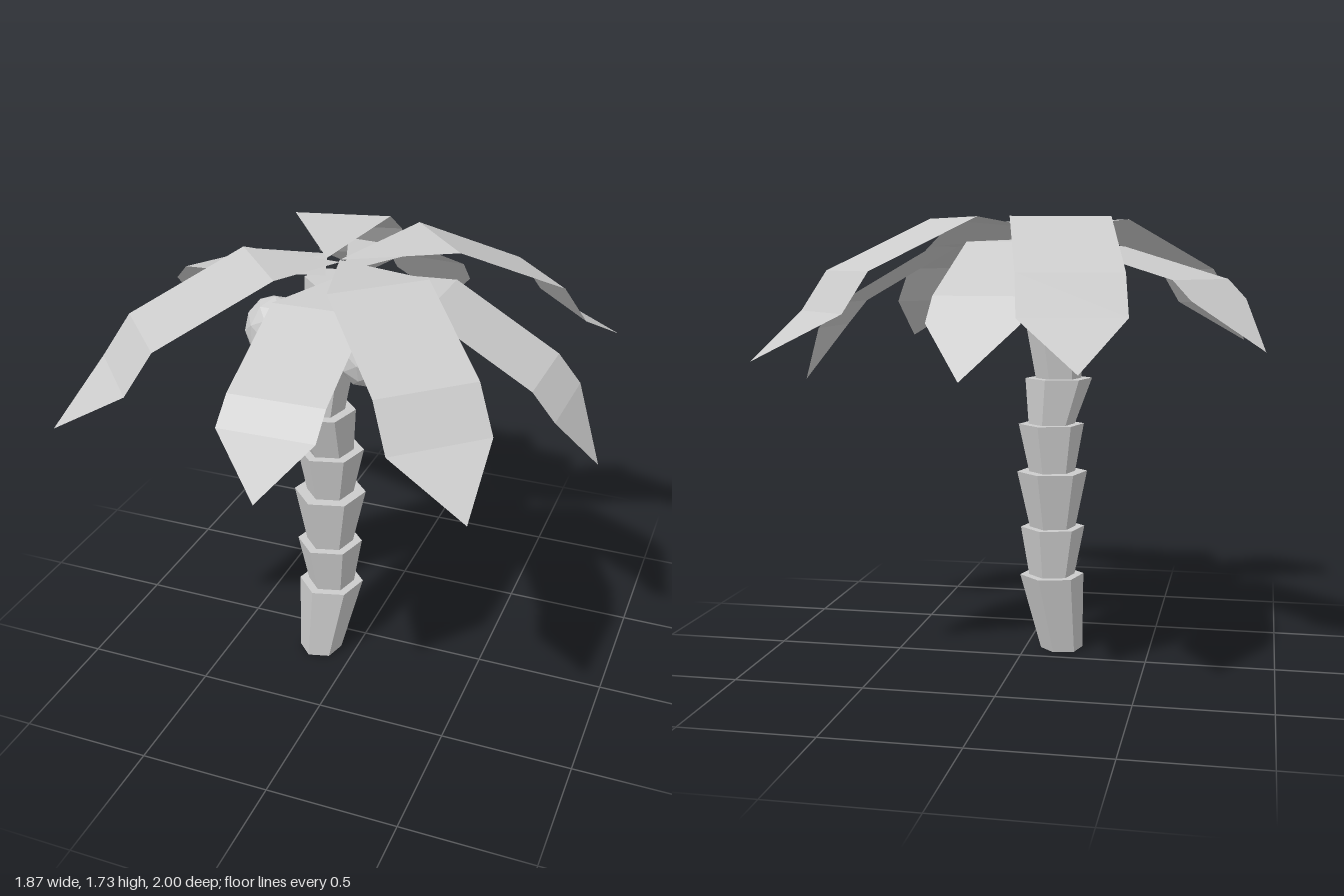
import * as THREE from 'three';

const mat = new THREE.MeshStandardMaterial({ color: 0xcccccc, flatShading: true });
const leafMat = new THREE.MeshStandardMaterial({ color: 0xcccccc, flatShading: true, side: THREE.DoubleSide });

// Six-sided flared segment whose bottom and top rings have their own centres [x, y, z, radius]
function trunkSegment(bottom, top) {
  const h = top[1] - bottom[1];
  const geo = new THREE.CylinderGeometry(top[3], bottom[3], h, 6, 1, false, Math.PI / 4);
  const p = geo.attributes.position;
  for (let i = 0; i < p.count; i++) {
    const end = p.getY(i) > 0 ? top : bottom;
    p.setXYZ(i, p.getX(i) + end[0], end[1], p.getZ(i) + end[2]);
  }
  geo.computeVertexNormals();
  const mesh = new THREE.Mesh(geo, mat);
  mesh.name = 'trunkSegment';
  return mesh;
}

// Pointed blade: root point, three cross-folds, tip.
// stops are fractions of the length, heights run from root to tip
function frond({ root, tip, stops, heights, width }) {
  const dx = tip[0] - root[0], dz = tip[1] - root[1], len = Math.hypot(dx, dz);
  const sx = -dz / len * width / 2, sz = dx / len * width / 2;
  const pos = [root[0], heights[0], root[1]];
  stops.forEach((t, i) => {
    const x = root[0] + dx * t, z = root[1] + dz * t;
    pos.push(x - sx, heights[i + 1], z - sz, x + sx, heights[i + 1], z + sz);
  });
  pos.push(tip[0], heights[4], tip[1]);
  const geo = new THREE.BufferGeometry();
  geo.setAttribute('position', new THREE.Float32BufferAttribute(pos, 3));
  const index = [0, 2, 1];
  for (let a = 1; a < 5; a += 2) index.push(a, a + 1, a + 2, a + 1, a + 3, a + 2);
  index.push(5, 6, 7);
  geo.setIndex(index);
  const flat = geo.toNonIndexed();
  flat.computeVertexNormals();
  const mesh = new THREE.Mesh(flat, leafMat);
  mesh.name = 'frond';
  return mesh;
}

export function createModel() {
  const model = new THREE.Group();
  model.name = 'palmTree';

  // Trunk: stacked segments, each wider at its top
  const trunk = new THREE.Group();
  trunk.name = 'trunk';
  const tops = [
    [-0.11, 0.315, 0.1, 0.128], [-0.112, 0.51, 0.105, 0.128], [-0.11, 0.735, 0.1, 0.14],
    [-0.105, 0.925, 0.105, 0.13], [-0.13, 1.105, 0.132, 0.133], [-0.108, 1.36, 0.112, 0.113],
    [-0.09, 1.62, 0.1, 0.1],
  ];
  let bottom = [-0.145, 0, 0.14, 0.085];
  for (const top of tops) {
    trunk.add(trunkSegment(bottom, top));
    bottom = [top[0], top[1] - 0.01, top[2], 0.09];
  }
  model.add(trunk);

  // Coconuts under the crown
  const coconuts = new THREE.Group();
  coconuts.name = 'coconuts';
  for (const [x, y, z] of [[-0.04, 1.48, -0.05], [0.11, 1.42, 0.265], [-0.215, 1.49, 0.315]]) {
    const nut = new THREE.Mesh(new THREE.IcosahedronGeometry(0.112, 1), mat);
    nut.name = 'coconut';
    nut.scale.y = 1.07;
    nut.position.set(x, y, z);
    coconuts.add(nut);
  }
  model.add(coconuts);

  const crown = new THREE.Group();
  crown.name = 'crown';

  // Upper fronds on the diagonals
  const upper = [
    { root: [-0.11, 0.1], tip: [-0.37, -1.0], stops: [0.345, 0.73, 0.81] },
    { root: [-0.06, 0.1], tip: [0.82, -0.7], stops: [0.325, 0.69, 0.775] },
    { root: [-0.06, 0.1], tip: [0.68, 0.92], stops: [0.34, 0.71, 0.81] },
    { root: [-0.05, 0.12], tip: [-0.84, 0.82], stops: [0.285, 0.69, 0.79] },
  ];
  for (const f of upper) {
    crown.add(frond({ ...f, heights: [1.69, 1.725, 1.53, 1.385, 1.22], width: 0.365 }));
  }

  // Lower fronds between them
  const lower = [
    { root: [-0.04, 0.1], tip: [0.035, -0.89], stops: [0.37, 0.76, 0.84], heights: [1.65, 1.635, 1.45, 1.36, 1.18], width: 0.33 },
    { root: [-0.07, 0.12], tip: [0.93, 0.15], stops: [0.4, 0.79, 0.875], heights: [1.66, 1.62, 1.4, 1.3, 1.08], width: 0.34 },
    { root: [-0.02, 0.1], tip: [0, 0.995], stops: [0.34, 0.77, 0.875], heights: [1.65, 1.625, 1.46, 1.38, 1.19], width: 0.345 },
    { root: [-0.1, 0.14], tip: [-0.935, -0.39], stops: [0.23, 0.72, 0.8], heights: [1.64, 1.62, 1.5, 1.43, 1.255], width: 0.34 },
  ];
  for (const f of lower) crown.add(frond(f));
  model.add(crown);

  return model;
}
